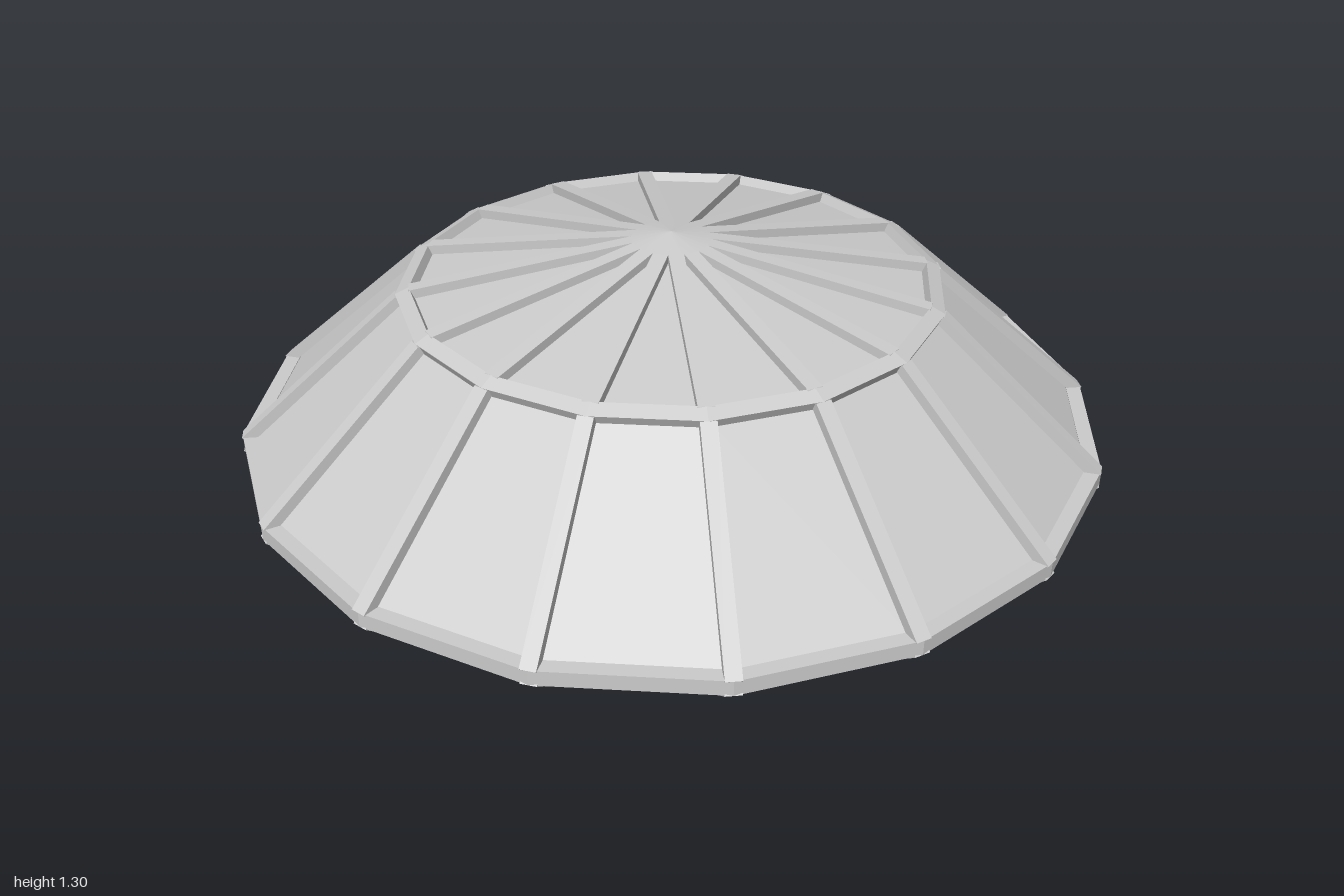
import * as THREE from 'three';

const SIDES = 16;
const BAR = 0.035;                 // width of every frame bar
const HUB = BAR / 2 / Math.sin(Math.PI / SIDES);   // radius where neighbouring ribs meet
const HUB_IN = HUB * Math.cos(Math.PI / SIDES);

const flat = new THREE.MeshStandardMaterial({ color: 0xcccccc, flatShading: true });
const smooth = new THREE.MeshStandardMaterial({ color: 0xcccccc });

// Profile points as [radius, height]
const core = { tip: [0, 0.0225], girdle: [0.98, 0.8225], table: [0.595, 1.17], apex: [0, 1.278] };
const skin = { tip: [0, 0], apex: [0, 1.297] };

const toVec = ([r, y]) => new THREE.Vector2(r, y);
const along = ([r0, y0], [r1, y1], r) => [r, y0 + (y1 - y0) * (r - r0) / (r1 - r0)];

// Corners of a square bar section, counterclockwise, with its outer side tilted up by an angle
function section([r, y], tilt) {
  const c = Math.cos(tilt) * BAR / 2, s = Math.sin(tilt) * BAR / 2;
  return [[-1, -1], [1, -1], [1, 1], [-1, 1]].map(([a, b]) => [r + a * c - b * s, y + a * s + b * c]);
}

function lathe(name, points) {
  const mesh = new THREE.Mesh(new THREE.LatheGeometry(points.map(toVec), SIDES), flat);
  mesh.name = name;
  return mesh;
}

// One rib per corner, extruded from its side profile
function ribs(name, profile) {
  const group = new THREE.Group();
  group.name = name;
  const geometry = new THREE.ExtrudeGeometry(new THREE.Shape(profile.map(toVec)), { depth: BAR, bevelEnabled: false });
  geometry.translate(0, 0, -BAR / 2);
  for (let i = 0; i < SIDES; i++) {
    const rib = new THREE.Mesh(geometry, flat);
    rib.name = 'rib';
    rib.rotation.y = i * Math.PI * 2 / SIDES;
    group.add(rib);
  }
  return group;
}

// Shallow cone where the ribs run together
function hub(name, peak, rimY) {
  const height = Math.abs(peak - rimY);
  const geometry = new THREE.ConeGeometry(HUB, height, SIDES, 1, true, Math.PI / SIDES);
  if (peak < rimY) geometry.rotateX(Math.PI);
  geometry.translate(0, (peak + rimY) / 2, 0);
  const mesh = new THREE.Mesh(geometry, smooth);
  mesh.name = name;
  return mesh;
}

export function createModel() {
  const model = new THREE.Group();
  model.name = 'framedGem';

  // Faceted stone
  model.add(lathe('stone', [core.tip, core.girdle, core.table, core.apex]));

  // Girdle band and the tilted ring around the table
  const girdle = section(core.girdle, 0);
  const ring = section(core.table, -0.45);
  model.add(lathe('girdleBand', [...girdle, girdle[0]]));
  model.add(lathe('tableRing', [...ring, ring[0]]));

  // Ribs below the girdle, on the crown and on the table
  const low = along(skin.tip, girdle[1], HUB_IN);
  const high = along(skin.apex, ring[3], HUB_IN);
  model.add(ribs('lowerRibs', [low, girdle[1], core.girdle, along(core.tip, core.girdle, HUB_IN)]));
  model.add(ribs('crownRibs', [core.girdle, girdle[2], ring[2], core.table]));
  model.add(ribs('tableRibs', [along(core.apex, core.table, HUB_IN), core.table, ring[3], high]));

  // Hubs at both points
  model.add(hub('lowerHub', skin.tip[1], low[1]));
  model.add(hub('topHub', skin.apex[1], high[1]));

  return model;
}
